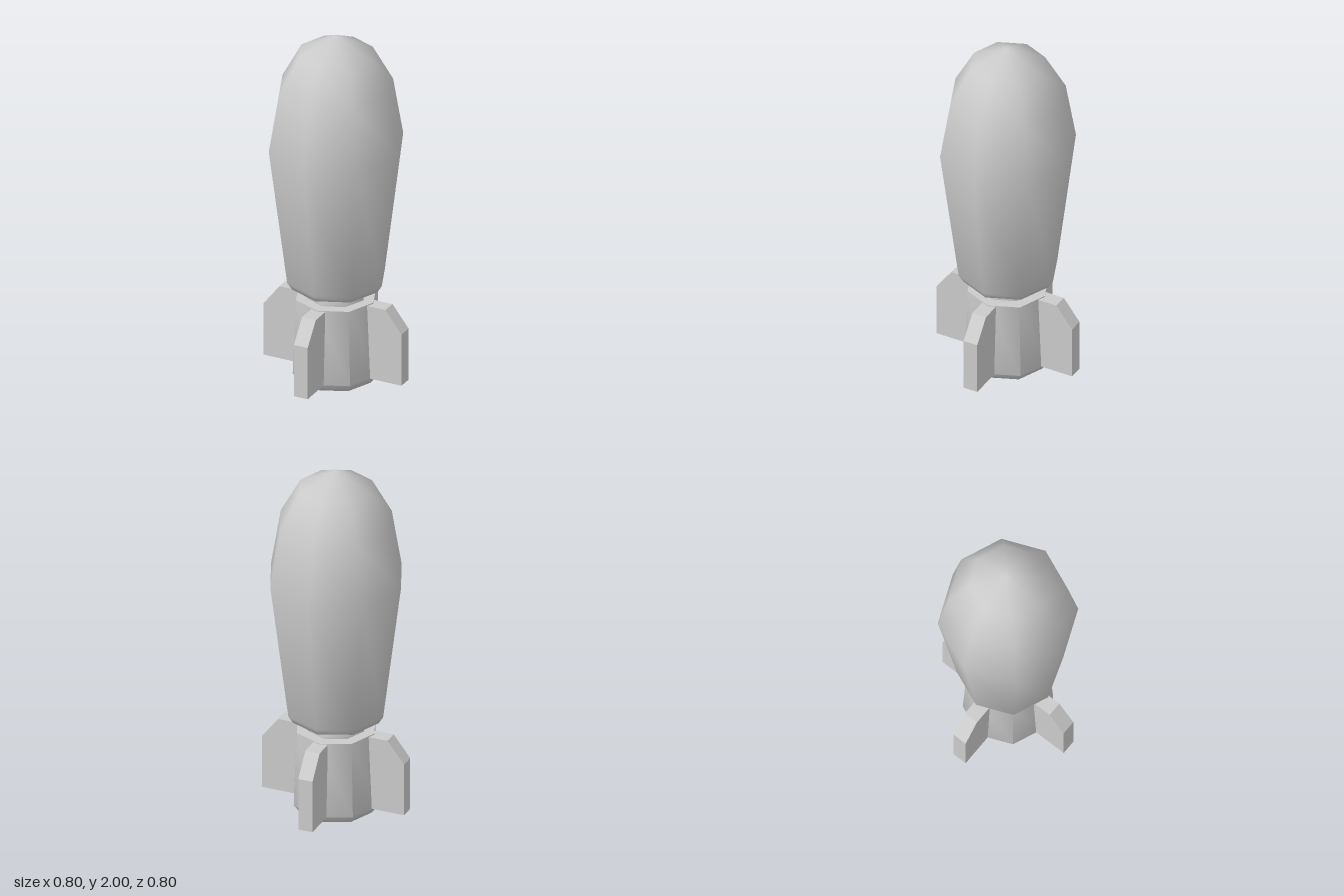
import * as THREE from 'three';
import { toCreasedNormals } from 'three/addons/utils/BufferGeometryUtils.js';

const material = new THREE.MeshStandardMaterial({ color: 0xcccccc, side: THREE.DoubleSide });

// Eight-sided turned part, profile listed from bottom to top as [radius, height]
function turned(name, profile) {
  const points = profile.map(([r, y]) => new THREE.Vector2(r, y));
  const geometry = toCreasedNormals(new THREE.LatheGeometry(points, 8), THREE.MathUtils.degToRad(55));
  const mesh = new THREE.Mesh(geometry, material);
  mesh.name = name;
  return mesh;
}

export function createModel() {
  const model = new THREE.Group();
  model.name = 'bomb';

  // Bulging body with a pointed nose
  model.add(turned('body', [
    [0.15, 0.56], [0.2, 0.56], [0.24, 0.57], [0.265, 0.61],
    [0.365, 1.38], [0.31, 1.7], [0.2, 1.9], [0, 2],
  ]));

  // Narrow neck between body and tail
  model.add(turned('neck', [[0.158, 0.505], [0.158, 0.545], [0.15, 0.56]]));

  // Tail, open at the bottom
  model.add(turned('tail', [
    [0.105, 0.003], [0.2, 0.04], [0.235, 0.085], [0.217, 0.505], [0.155, 0.505],
  ]));

  // Four fins with a chamfered upper corner
  const outline = new THREE.Shape([
    [0.18, 0.085], [0.4, 0.085], [0.4, 0.38], [0.307, 0.5], [0.18, 0.5],
  ].map(([x, y]) => new THREE.Vector2(x, y)));
  const finGeometry = new THREE.ExtrudeGeometry(outline, { depth: 0.08, bevelEnabled: false });
  finGeometry.translate(0, 0, -0.04);
  ['leftFin', 'backFin', 'rightFin', 'frontFin'].forEach((name, i) => {
    const fin = new THREE.Mesh(finGeometry, material);
    fin.name = name;
    fin.rotation.y = i * Math.PI / 2;
    model.add(fin);
  });

  return model;
}
